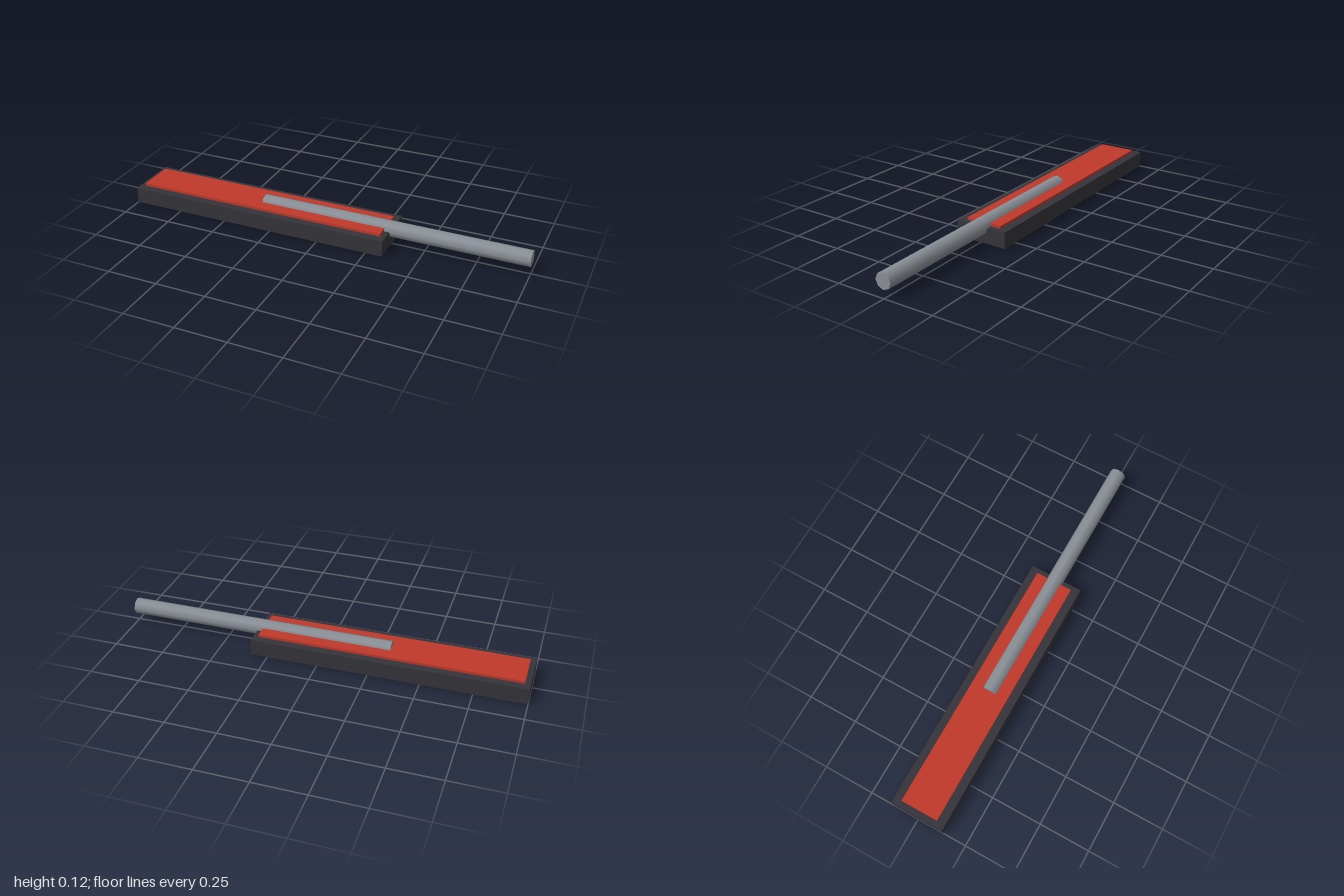
import * as THREE from 'three';

function material(name, color) {
  const m = new THREE.MeshStandardMaterial({ color });
  m.name = name;
  return m;
}

export function createModel() {
  const group = new THREE.Group();
  const darkGrey = material('darkGrey', 0x35343a);
  const red = material('red', 0xc0392b);
  const steel = material('steel', 0x8a9097);

  const add = (name, geometry, mat, x, y) => {
    const mesh = new THREE.Mesh(geometry, mat);
    mesh.name = name;
    mesh.position.set(x, y, 0);
    group.add(mesh);
    return mesh;
  };

  // Slab body, standing on the ground
  add('base', new THREE.BoxGeometry(1.3333, 0.08, 0.2667), darkGrey, -0.3333, 0.04);

  // Raised inlay, sunk slightly into the slab
  add('topPanel', new THREE.BoxGeometry(1.28, 0.0267, 0.1867), red, -0.3333, 0.08);

  // Eight-sided rod lying along x, half embedded in the slab
  const rod = new THREE.CylinderGeometry(0.04, 0.04, 1.3333, 8);
  rod.rotateZ(-Math.PI / 2);
  add('rod', rod, steel, 0.3333, 0.08);

  return group;
}
